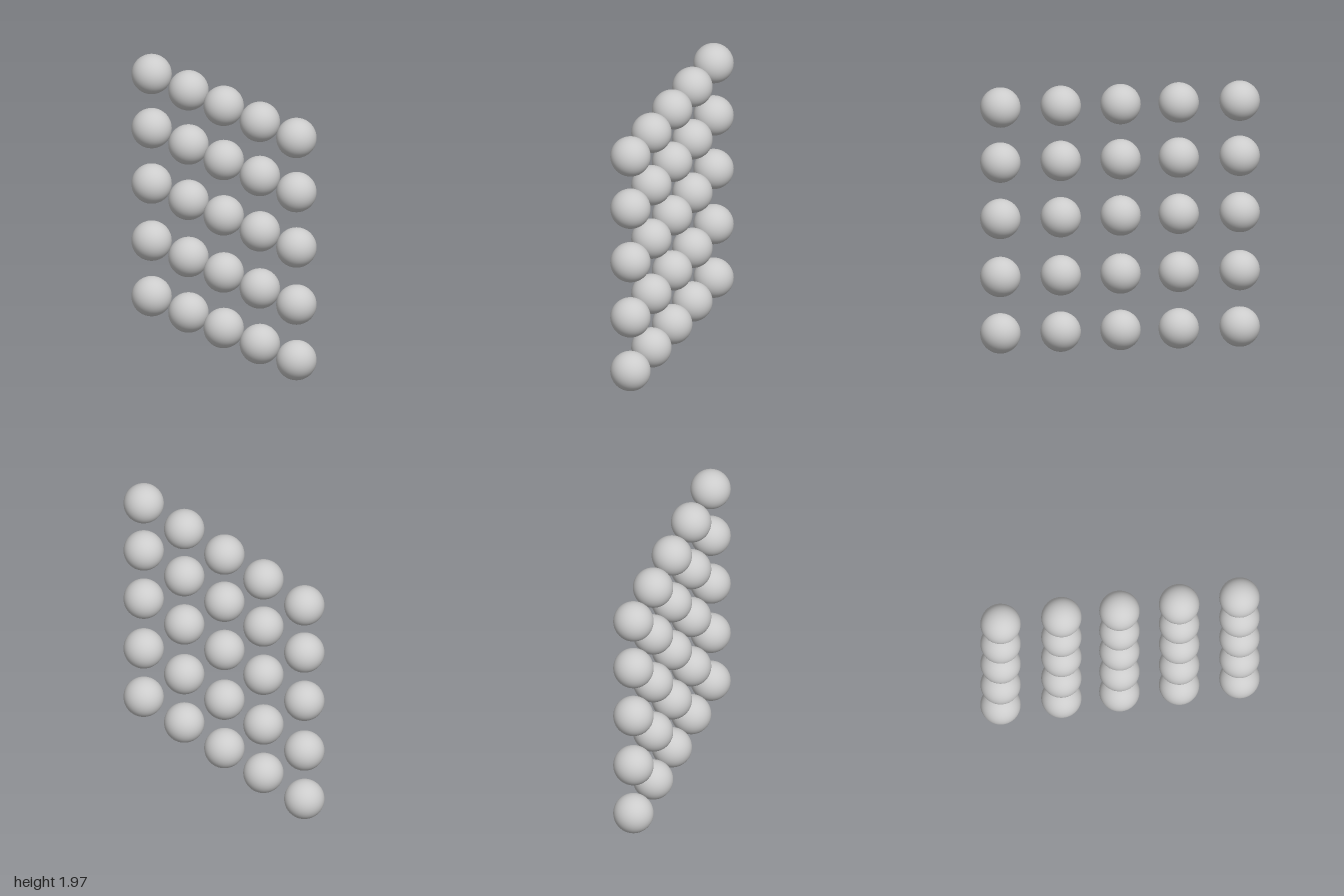
import * as THREE from 'three';

export function createModel() {
  const group = new THREE.Group();
  group.name = 'ballGrid';
  const material = new THREE.MeshStandardMaterial({ color: 0xcccccc });
  const ball = new THREE.SphereGeometry(0.144, 48, 32);

  // Slightly uneven spacing of the rows (height) and columns (depth)
  const rowHeights = [0.144, 0.563, 0.994, 1.412, 1.821];
  const columnDepths = [0.856, 0.424, -0.004, -0.42, -0.856];

  // Upright sheet of separate balls in the x = 0 plane
  rowHeights.forEach((y, r) => {
    const row = new THREE.Group();
    row.name = `row${r + 1}`;
    row.position.y = y;
    columnDepths.forEach((z, c) => {
      const mesh = new THREE.Mesh(ball, material);
      mesh.name = `ball${r + 1}_${c + 1}`;
      mesh.position.z = z;
      row.add(mesh);
    });
    group.add(row);
  });
  return group;
}
